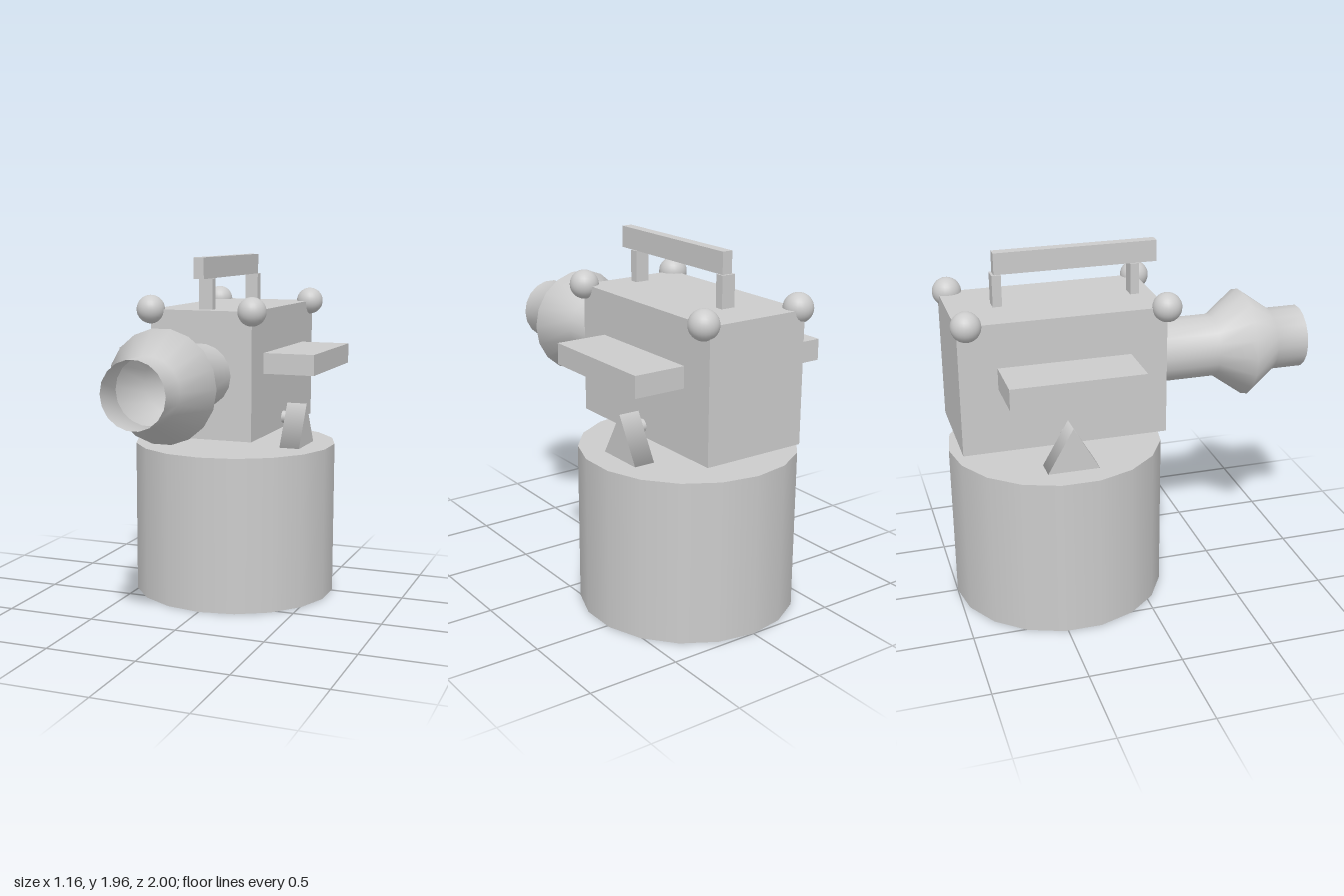
import * as THREE from 'three';

const SIDES = 18;
const MID_Z = -0.415;

export function createModel() {
  const group = new THREE.Group();
  const grey = new THREE.MeshStandardMaterial({ color: 0xcccccc });
  const greyOpen = new THREE.MeshStandardMaterial({ color: 0xcccccc, side: THREE.DoubleSide });

  const add = (name, geometry, x, y, z, material = grey) => {
    const mesh = new THREE.Mesh(geometry, material);
    mesh.name = name;
    mesh.position.set(x, y, z);
    group.add(mesh);
    return mesh;
  };

  // Box given by its lower and upper bounds
  const addBox = (name, [x0, x1], [y0, y1], [z0, z1]) =>
    add(name, new THREE.BoxGeometry(x1 - x0, y1 - y0, z1 - z0),
      (x0 + x1) / 2, (y0 + y1) / 2, (z0 + z1) / 2);

  // Drum base
  add('base', new THREE.CylinderGeometry(0.585, 0.585, 0.877, SIDES), 0, 0.4385, MID_Z);

  // Main housing
  addBox('housing', [-0.293, 0.293], [0.974, 1.675], [-0.966, 0.133]);

  // Open barrel with a diamond-shaped bulge, pointing forward
  const profile = [[0.174, 0.133], [0.174, 0.485], [0.297, 0.655], [0.174, 0.825], [0.174, 1]]
    .map(([r, z]) => new THREE.Vector2(r, z));
  const barrel = new THREE.LatheGeometry(profile, SIDES, Math.PI / 2).rotateX(Math.PI / 2);
  add('barrel', barrel, 0, 1.325, 0, greyOpen);

  // Carrying handle on two posts
  addBox('handleBar', [-0.029, 0.029], [1.843, 1.958], [-0.718, 0.157]);
  addBox('frontHandlePost', [-0.039, 0.039], [1.675, 1.843], [0.009, 0.058]);
  addBox('rearHandlePost', [-0.039, 0.039], [1.675, 1.843], [-0.731, -0.682]);

  for (const side of [1, -1]) {
    const label = side > 0 ? 'left' : 'right';

    // Flat side plate
    add(`${label}SidePlate`, new THREE.BoxGeometry(0.287, 0.114, 0.705),
      side * 0.4365, 1.381, MID_Z);

    // Triangular support, apex up, with its short axle
    const support = new THREE.CylinderGeometry(0.161, 0.161, 0.117, 3, 1, false, Math.PI / 2)
      .rotateZ(Math.PI / 2);
    add(`${label}Support`, support, side * 0.377, 0.957, MID_Z);
    const axle = new THREE.CylinderGeometry(0.035, 0.035, 0.1, SIDES).rotateZ(Math.PI / 2);
    add(`${label}Axle`, axle, side * 0.31, 1.034, MID_Z);

    // Corner balls
    add(`${label}FrontBall`, new THREE.SphereGeometry(0.078, 24, 16), side * 0.293, 1.675, 0.131);
    add(`${label}RearBall`, new THREE.SphereGeometry(0.078, 24, 16), side * 0.293, 1.675, -0.917);
  }

  return group;
}
